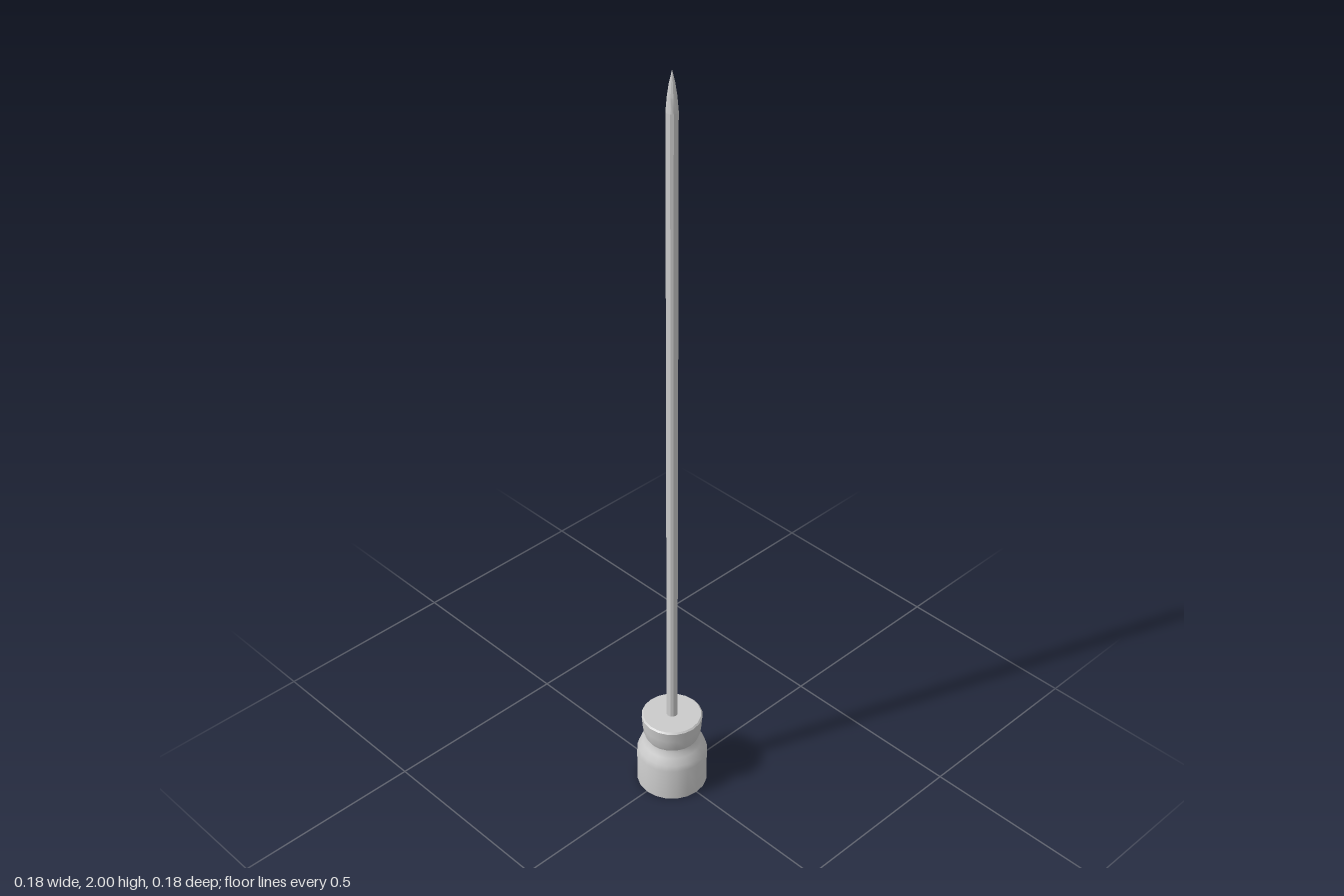
import * as THREE from 'three';
import { toCreasedNormals } from 'three/addons/utils/BufferGeometryUtils.js';

const material = new THREE.MeshStandardMaterial({ color: 0xcccccc });

// Turned part from [radius, height] pairs, listed bottom to top
function turned(name, profile, sides) {
  const points = profile.map(([r, y]) => new THREE.Vector2(r, y));
  const geometry = toCreasedNormals(new THREE.LatheGeometry(points, sides), Math.PI / 6);
  const mesh = new THREE.Mesh(geometry, material);
  mesh.name = name;
  return mesh;
}

export function createModel() {
  const model = new THREE.Group();
  model.name = 'spike';

  // Socket: straight cup with a rounded shoulder up to the neck
  model.add(turned('socket', [
    [0, 0], [0.092, 0], [0.092, 0.095], [0.088, 0.11],
    [0.077, 0.128], [0.07, 0.14], [0.068, 0.15], [0, 0.15],
  ], 20));

  // Collar: flares out above the neck, with a small bevelled rim
  model.add(turned('collar', [
    [0, 0.148], [0.069, 0.148], [0.074, 0.16], [0.077, 0.185],
    [0.079, 0.212], [0.075, 0.216], [0, 0.216],
  ], 20));

  // Slender rod and its curved point
  model.add(turned('rod', [[0, 0.2], [0.0145, 0.2], [0.0145, 1.905]], 12));
  model.add(turned('tip', [
    [0.0145, 1.905], [0.0115, 1.94], [0.007, 1.97], [0, 2],
  ], 12));

  return model;
}
